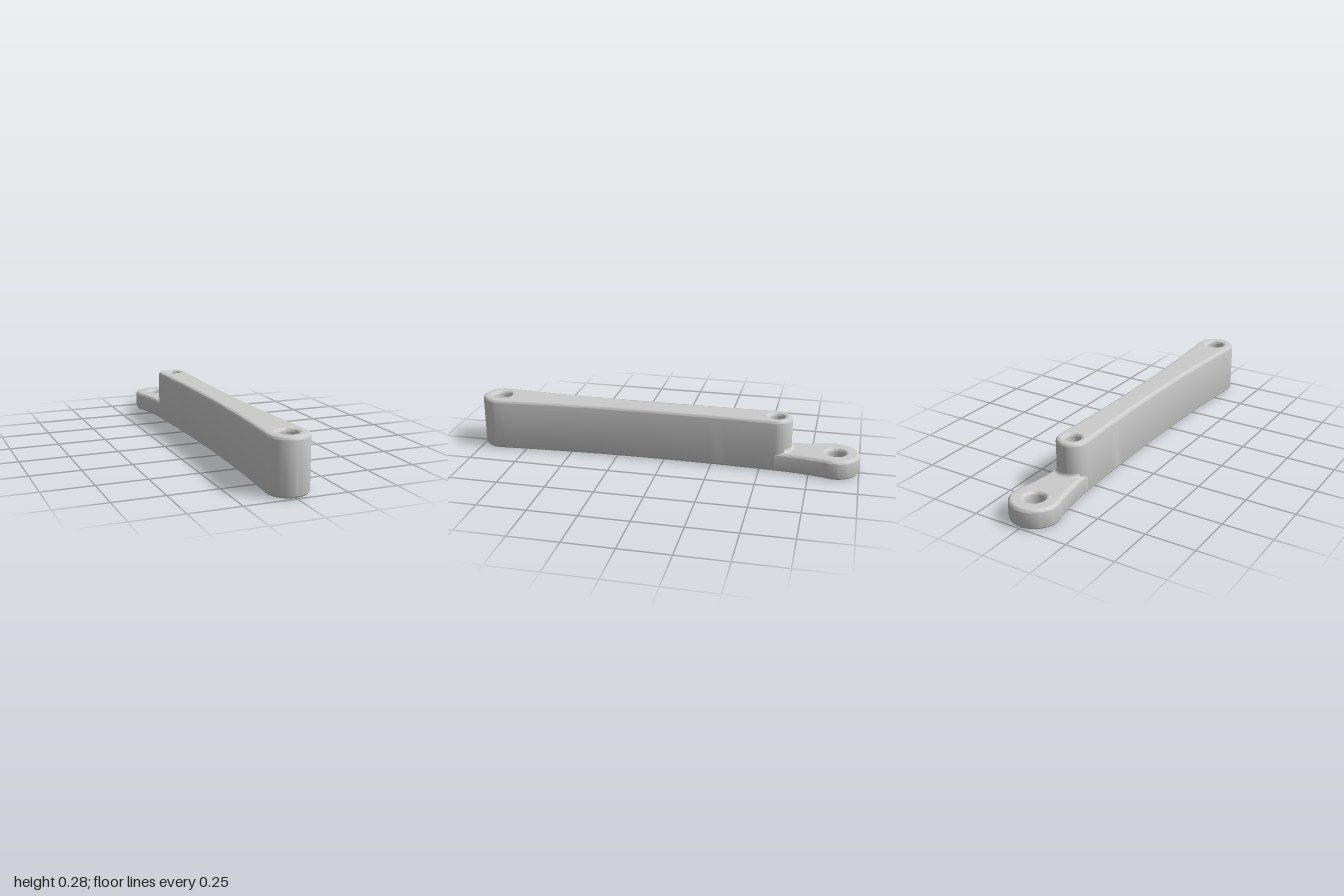
import * as THREE from 'three';
import { toCreasedNormals } from 'three/addons/utils/BufferGeometryUtils.js';

const BEVEL = 0.018;
const POST_Z = -0.575, POST_R = 0.08, PLATE_TOP = 0.103, BODY_TOP = 0.275;

// Half-width of the arm along z: a slim waist that swells towards both ends
function halfWidth(z) {
  if (z < -0.6) {
    const d = -0.6 - z;
    return 0.081 + 0.05 * d + 0.38 * d * d;
  }
  const d = z - 0.03;
  return 0.066 + (d > 0 ? 0.049 : 0.038) * d * d;
}

// Points along the +x flank from z0 to z1
function flank(z0, z1, n) {
  return Array.from({ length: n + 1 }, (_, i) => {
    const z = z0 + (z1 - z0) * i / n;
    return [halfWidth(z), z];
  });
}

// Quarter of a rounded end, from angle a0 to a1 measured from +x towards +z
function arc(cz, r, a0, a1, n = 14) {
  return Array.from({ length: n + 1 }, (_, i) => {
    const a = a0 + (a1 - a0) * i / n;
    return [r * Math.cos(a), cz + r * Math.sin(a)];
  });
}

// Mirror a half outline, cut the holes and extrude upwards with rounded edges
function slab(half, height, holes, name, material) {
  const mirrored = half.filter(p => p[0] > 1e-4).map(([x, z]) => [-x, z]).reverse();
  const shape = new THREE.Shape([...half, ...mirrored].map(([x, z]) => new THREE.Vector2(x, -z)));
  for (const [z, r] of holes) {
    const hole = new THREE.Path();
    hole.absarc(0, -z, r, 0, Math.PI * 2, true);
    shape.holes.push(hole);
  }
  let geo = new THREE.ExtrudeGeometry(shape, {
    depth: height - 2 * BEVEL, bevelEnabled: true, bevelSize: BEVEL, bevelThickness: BEVEL,
    bevelOffset: -BEVEL, bevelSegments: 5, curveSegments: 20,
  });
  geo.rotateX(-Math.PI / 2).translate(0, BEVEL, 0);
  geo = toCreasedNormals(geo, 0.7);
  // Keep the flat top and bottom faces evenly shaded
  const pos = geo.attributes.position, nor = geo.attributes.normal;
  for (let i = 0; i < pos.count; i += 3) {
    const y = [0, 1, 2].map(k => pos.getY(i + k));
    if (Math.max(...y) - Math.min(...y) > 1e-5) continue;
    for (let k = 0; k < 3; k++) nor.setXYZ(i + k, 0, y[0] > height / 2 ? 1 : -1, 0);
  }
  const mesh = new THREE.Mesh(geo, material);
  mesh.name = name;
  return mesh;
}

export function createModel() {
  const group = new THREE.Group();
  group.name = 'linkArm';
  const material = new THREE.MeshStandardMaterial({ color: 0xcccccc });
  const H = Math.PI / 2;

  // Tall arm, rounded at both ends
  const body = [
    ...arc(0.898, 0.102, H, 0.09),
    ...flank(0.86, -0.55, 28),
    ...arc(POST_Z, POST_R, 0, -H),
  ];
  group.add(slab(body, BODY_TOP, [[0.898, 0.047], [POST_Z, 0.037]], 'armBody', material));

  // Low lug that continues the arm's flanks to the back
  const plate = [
    [0, -0.48],
    ...flank(-0.48, -0.83, 18),
    ...arc(-0.877, 0.123, 0.3, -H, 18),
  ];
  group.add(slab(plate, PLATE_TOP, [[POST_Z, 0.037], [-0.88, 0.047]], 'rearLug', material));

  // Small fillet where the end of the arm meets the lug
  const f = 0.018;
  const profile = Array.from({ length: 7 }, (_, i) => {
    const a = H * i / 6;
    return new THREE.Vector2(POST_R + f - f * Math.sin(a), PLATE_TOP + f - f * Math.cos(a));
  });
  const filletMaterial = material.clone();
  filletMaterial.side = THREE.DoubleSide;
  const fillet = new THREE.Mesh(new THREE.LatheGeometry(profile, 20, Math.PI - 0.95, 1.9), filletMaterial);
  fillet.position.z = POST_Z;
  fillet.name = 'stepFillet';
  group.add(fillet);

  return group;
}
